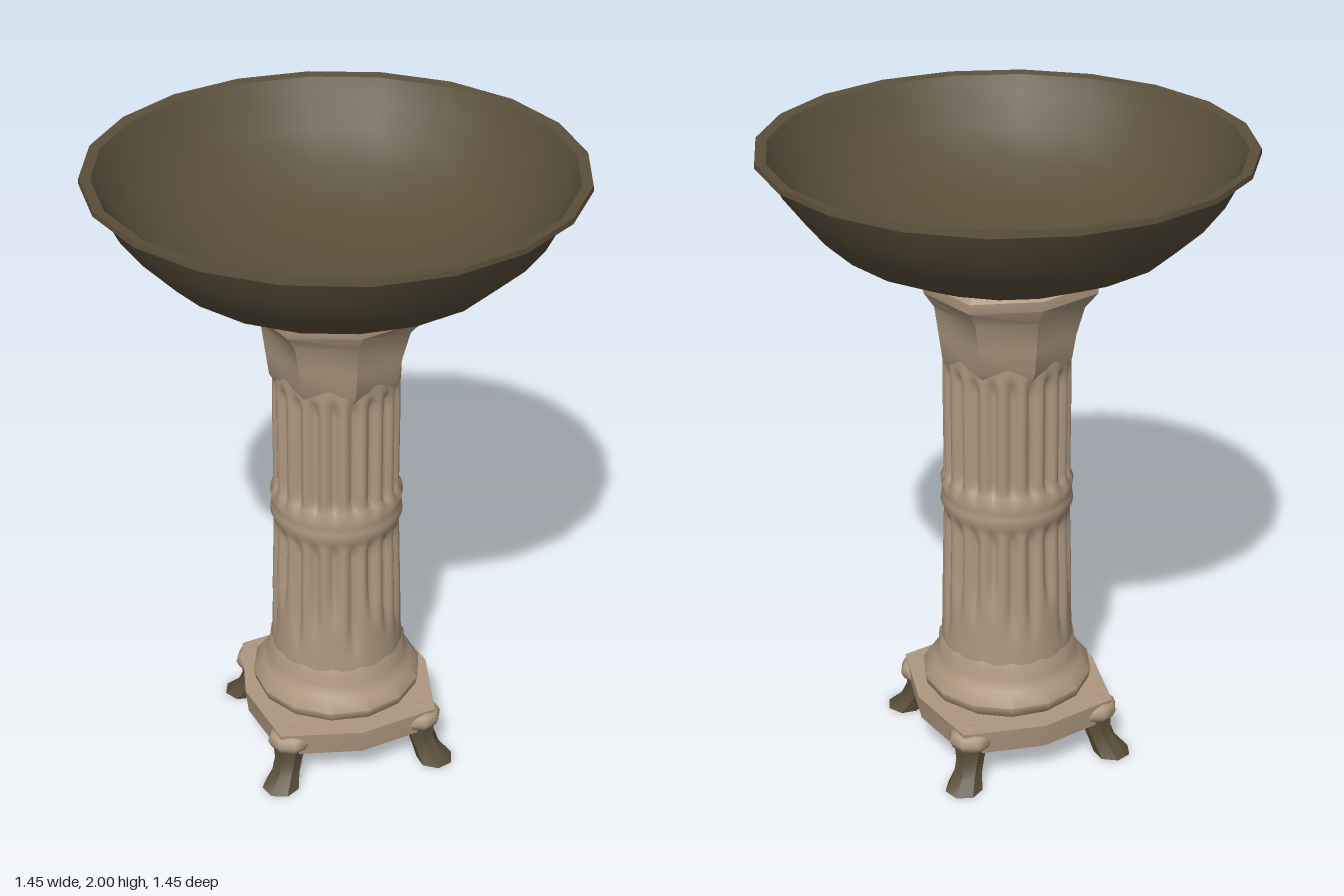
import * as THREE from 'three';
import { mergeVertices, toCreasedNormals } from 'three/addons/utils/BufferGeometryUtils.js';

const bronze = new THREE.MeshStandardMaterial({ color: 0x5a4f3a });
bronze.name = 'dark bronze';
const stone = new THREE.MeshStandardMaterial({ color: 0xae9880 });
stone.name = 'warm stone';

const FLUTES = 20;

function lathe(profile, segments) {
  return new THREE.LatheGeometry(profile.map(([r, y]) => new THREE.Vector2(r, y)), segments);
}

// Move every vertex by a rule
function warp(geometry, rule) {
  const p = geometry.attributes.position;
  const v = new THREE.Vector3();
  for (let i = 0; i < p.count; i++) {
    v.fromBufferAttribute(p, i);
    rule(v);
    p.setXYZ(i, v.x, v.y, v.z);
  }
  return geometry;
}

// Weld the seam and recompute smooth normals
function smooth(geometry) {
  geometry.deleteAttribute('uv');
  geometry.deleteAttribute('normal');
  const welded = mergeVertices(geometry, 1e-4);
  welded.computeVertexNormals();
  return welded;
}

function add(parent, name, geometry, material) {
  const mesh = new THREE.Mesh(geometry, material);
  mesh.name = name;
  parent.add(mesh);
  return mesh;
}

// Fluted shaft: a lathe whose surface is pushed in along the grooves
function shaftGeometry() {
  const shape = [
    [0.21, 0.34], [0.205, 0.45], [0.203, 0.6], [0.197, 0.8], [0.196, 0.84],
    [0.205, 0.86], [0.2, 0.9], [0.205, 0.93], [0.195, 0.95], [0.195, 1.2], [0.193, 1.4],
  ];
  const profile = [];
  for (let i = 0; i < shape.length - 1; i++) {
    const [r0, y0] = shape[i], [r1, y1] = shape[i + 1];
    const steps = Math.max(1, Math.round((y1 - y0) / 0.025));
    for (let k = 0; k < steps; k++) {
      const t = k / steps;
      profile.push([r0 + (r1 - r0) * t, y0 + (y1 - y0) * t]);
    }
  }
  profile.push(shape[shape.length - 1]);
  const ramp = THREE.MathUtils.smoothstep;
  return smooth(warp(lathe(profile, FLUTES * 6), (v) => {
    const angle = Math.atan2(v.x, v.z);
    const groove = Math.pow(0.5 - 0.5 * Math.cos(angle * FLUTES), 1.5);
    const n = Math.round((angle / (2 * Math.PI)) * FLUTES - 0.5);
    const worn = 0.44 + 0.07 * Math.sin(n * 2.4); // lower grooves fade out unevenly
    const upper = ramp(v.y, 0.93, 0.97) * (1 - ramp(v.y, 1.3, 1.34));
    const lower = ramp(v.y, worn, worn + 0.18) * (1 - ramp(v.y, 0.79, 0.84));
    const k = 1 - (0.022 * groove * Math.max(upper, lower)) / Math.hypot(v.x, v.z);
    v.x *= k;
    v.z *= k;
  }));
}

// Eight-sided capital, widest on the axes
function capitalGeometry() {
  const profile = [
    [0.19, 1.33], [0.207, 1.36], [0.22, 1.44], [0.245, 1.53],
    [0.285, 1.58], [0.285, 1.61], [0.26, 1.63], [0, 1.63],
  ];
  const g = warp(lathe(profile, 8), (v) => {
    const diagonal = Math.abs(Math.sin(2 * Math.atan2(v.x, v.z)));
    const k = 1 - 0.08 * diagonal * THREE.MathUtils.smoothstep(v.y, 1.4, 1.58);
    v.x *= k;
    v.z *= k;
  });
  return toCreasedNormals(g, 0.6);
}

// Octagonal plinth, longer towards the feet
function plinthGeometry() {
  const g = warp(new THREE.CylinderGeometry(0.36, 0.35, 0.08, 8), (v) => {
    const diagonal = Math.abs(Math.sin(2 * Math.atan2(v.x, v.z)));
    v.x *= 1 - 0.15 * diagonal;
    v.z *= 1 - 0.15 * diagonal;
    v.y += 0.155;
  });
  return toCreasedNormals(g, 0.5);
}

// Foot leaning outwards along +z, flared at the toe
function footGeometry() {
  const g = warp(new THREE.CylinderGeometry(0.055, 0.055, 0.13, 7, 3), (v) => {
    const t = 0.5 - v.y / 0.13;
    const flare = t > 0.9 ? 1.08 : 0.95 - 0.15 * Math.sin(t * Math.PI);
    v.x *= flare;
    v.z = v.z * flare + 0.305 + 0.06 * t * t;
    v.y = 0.13 * (1 - t);
  });
  return toCreasedNormals(g, 0.7);
}

export function createModel() {
  const model = new THREE.Group();
  model.name = 'pedestalBasin';

  // Bowl: outer wall up to a thin lip, then the hollow inside
  const bowl = lathe([
    [0, 1.63], [0.24, 1.635], [0.36, 1.665], [0.51, 1.735], [0.59, 1.81], [0.65, 1.89],
    [0.695, 1.98], [0.724, 1.985], [0.722, 2.0], [0.69, 1.995], [0.66, 1.94],
    [0.6, 1.86], [0.5, 1.77], [0.34, 1.7], [0.15, 1.67], [0, 1.665],
  ], 20);
  add(model, 'bowl', toCreasedNormals(bowl, 0.75), bronze);

  // Column
  const column = new THREE.Group();
  column.name = 'column';
  model.add(column);
  add(column, 'capital', capitalGeometry(), stone);
  add(column, 'flutedShaft', shaftGeometry(), stone);
  const base = lathe([
    [0, 0.195], [0.24, 0.2], [0.265, 0.22], [0.272, 0.25], [0.24, 0.29], [0.222, 0.32],
    [0.22, 0.36], [0.2, 0.39],
  ], 14);
  add(column, 'columnBase', toCreasedNormals(base, 0.9), stone);

  // Plinth with a knuckle and a foot on each axis
  add(model, 'plinth', plinthGeometry(), stone);
  for (let i = 0; i < 4; i++) {
    const leg = new THREE.Group();
    leg.name = 'leg';
    leg.rotation.y = (i * Math.PI) / 2;
    model.add(leg);
    const knuckle = add(leg, 'knuckle', new THREE.SphereGeometry(0.07, 8, 6), stone);
    knuckle.scale.set(1, 0.62, 0.9);
    knuckle.position.set(0, 0.155, 0.31);
    add(leg, 'foot', footGeometry(), bronze);
  }
  return model;
}
